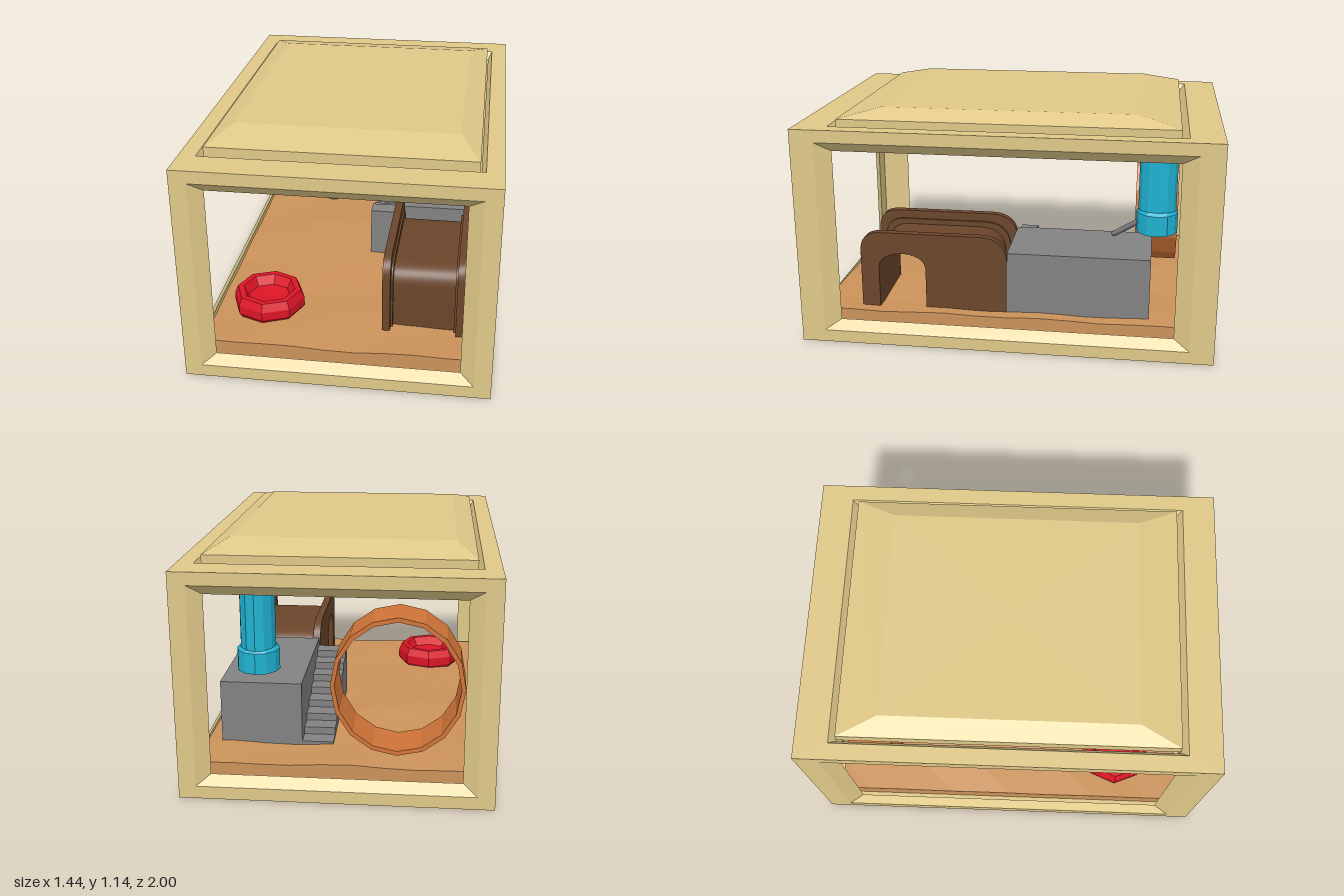
import * as THREE from 'three';
import { toCreasedNormals } from 'three/addons/utils/BufferGeometryUtils.js';

const mat = (color, extra = {}) => new THREE.MeshStandardMaterial({ color, ...extra });
const WOOD = mat(0xdfc888), BED = mat(0xcb925a, { flatShading: true });
const BROWN = mat(0x6a452a), GREY = mat(0x828282), STEEL = mat(0x6c6c70);
const CYAN = mat(0x1fb2d2, { flatShading: true });
const RED = mat(0xdd1526, { flatShading: true });
const ORANGE = mat(0xd07438, { flatShading: true, side: THREE.DoubleSide });

function add(parent, name, geometry, material, x = 0, y = 0, z = 0) {
  const mesh = new THREE.Mesh(geometry, material);
  mesh.name = name;
  mesh.position.set(x, y, z);
  parent.add(mesh);
  return mesh;
}

// Joins rectangular loops [halfWidth, halfHeight, z] into flat bands
function rectLoft(loops, closed) {
  const pos = [];
  const corner = ([w, h, z], i) => [[-w, -h, z], [w, -h, z], [w, h, z], [-w, h, z]][i % 4];
  const last = closed ? loops.length : loops.length - 1;
  for (let k = 0; k < last; k++) {
    const a = loops[k], b = loops[(k + 1) % loops.length];
    for (let i = 0; i < 4; i++) {
      const p = corner(a, i), q = corner(a, i + 1), r = corner(b, i + 1), s = corner(b, i);
      pos.push(...p, ...q, ...r, ...p, ...r, ...s);
    }
  }
  const g = new THREE.BufferGeometry();
  g.setAttribute('position', new THREE.Float32BufferAttribute(pos, 3));
  g.computeVertexNormals();
  return g;
}

// Wall plate with a window whose edge slopes inwards
const windowWall = (w, h, ow, oh, iw, ih, d) =>
  rectLoft([[w, h, 0], [ow, oh, 0], [iw, ih, -d], [w, h, -d]], true);

// House side outline (x of the shape is -z), inset by e, with an arched doorway
function houseProfile(e) {
  const s = new THREE.Shape();
  const f = -0.73 + e, b = -e, t = 0.53 - e * 1.2;
  s.moveTo(f, 0.12);
  s.lineTo(f, t - 0.1);
  s.quadraticCurveTo(f, t, f + 0.1, t);
  s.lineTo(b - 0.14, t);
  s.quadraticCurveTo(b, t, b, t - 0.13);
  s.lineTo(b, 0.12);
  s.lineTo(-0.405, 0.12);
  s.lineTo(-0.405, 0.35);
  s.bezierCurveTo(-0.405, 0.45, -0.64, 0.45, -0.64, 0.35);
  s.lineTo(-0.64, 0.12);
  return s;
}

function houseSlab(e, depth) {
  const g = new THREE.ExtrudeGeometry(houseProfile(e), { depth, bevelEnabled: false, curveSegments: 10 });
  return toCreasedNormals(g.rotateY(Math.PI / 2), 0.7);
}

function createCage() {
  const cage = new THREE.Group();
  cage.name = 'cage';
  for (const s of [1, -1]) {
    const end = add(cage, s > 0 ? 'frontFrame' : 'backFrame',
      windowWall(0.72, 0.535, 0.64, 0.475, 0.575, 0.428, 0.04), WOOD, 0, 0.535, s);
    if (s < 0) end.rotation.y = Math.PI;
    const side = add(cage, s > 0 ? 'leftFrame' : 'rightFrame',
      windowWall(1, 0.535, 0.885, 0.475, 0.81, 0.428, 0.04), WOOD, s * 0.72, 0.535, 0);
    side.rotation.y = s * Math.PI / 2;
  }
  const top = add(cage, 'topFrame', windowWall(0.72, 1, 0.64, 0.84, 0.62, 0.81, 0.04), WOOD, 0, 1.07, 0);
  top.rotation.x = -Math.PI / 2;
  add(cage, 'base', new THREE.BoxGeometry(1.44, 0.05, 2), WOOD, 0, 0.025, 0);

  // Lid with sloping edges
  const lid = add(cage, 'lid', rectLoft([
    [0, 0, 1.035], [0.615, 0.805, 1.035], [0.615, 0.805, 1.1], [0.52, 0.61, 1.145], [0, 0, 1.145],
  ], false), WOOD);
  lid.rotation.x = -Math.PI / 2;
  return cage;
}

// Uneven bedding slab
function createBedding() {
  const g = new THREE.BoxGeometry(1.3, 0.1, 1.84, 9, 1, 12);
  const p = g.attributes.position;
  for (let i = 0; i < p.count; i++) {
    if (p.getY(i) < 0) continue;
    const x = p.getX(i), z = p.getZ(i);
    const mound = 0.035 * Math.exp(-((x + 0.2) ** 2) / 0.06 - ((z + 0.2) ** 2) / 0.2);
    p.setY(i, 0.05 + mound + 0.009 * Math.sin(x * 9 + z * 5) * Math.cos(z * 7 - x * 3));
  }
  g.computeVertexNormals();
  return g;
}

export function createModel() {
  const model = new THREE.Group();
  model.name = 'petCage';
  model.add(createCage());
  add(model, 'bedding', createBedding(), BED, 0, 0.097, 0);

  // House: low tunnel body between two taller end plates
  const house = new THREE.Group();
  house.name = 'house';
  add(house, 'houseBody', houseSlab(0.058, 0.33), BROWN, 0.215, 0, 0);
  for (const x of [0.185, 0.54]) {
    add(house, 'houseEnd', houseSlab(0, 0.038), BROWN, x, 0, 0);
  }
  for (const x of [0.223, 0.53]) {
    add(house, 'houseFillet', houseSlab(0.035, 0.01), BROWN, x, 0, 0);
  }
  model.add(house);

  // Platform with stairs climbing towards the front
  add(model, 'platform', new THREE.BoxGeometry(0.39, 0.345, 0.69), GREY, 0.385, 0.2825, -0.345);
  const stairs = new THREE.Shape();
  stairs.moveTo(0, 0.11);
  stairs.lineTo(0.69, 0.11);
  const steps = 8;
  for (let i = 0; i < steps; i++) {
    const y = 0.415 - i * 0.036;
    stairs.lineTo(0.69 * i / steps, y);
    stairs.lineTo(0.69 * (i + 1) / steps, y);
  }
  // Reorder so the outline runs down the treads once
  const outline = new THREE.Shape([
    new THREE.Vector2(0.69, 0.11), new THREE.Vector2(0, 0.11),
    ...stairs.getPoints().slice(2),
  ]);
  const stairGeo = new THREE.ExtrudeGeometry(outline, { depth: 0.15, bevelEnabled: false });
  add(model, 'stairs', stairGeo.rotateY(Math.PI / 2), GREY, 0.04, 0, 0);

  // Water bottle hanging from the ceiling
  const bottle = new THREE.Group();
  bottle.name = 'waterBottle';
  const tank = add(bottle, 'bottleTank', new THREE.CylinderGeometry(0.083, 0.083, 0.4, 12), CYAN, 0, 0.84, 0);
  tank.scale.z = 1.1;
  const cap = [[0, 0.54], [0.1, 0.54], [0.1, 0.64], [0.085, 0.655], [0, 0.655]];
  add(bottle, 'bottleCap', new THREE.LatheGeometry(cap.map(([r, y]) => new THREE.Vector2(r, y)), 12), CYAN);
  const spout = new THREE.LineCurve3(new THREE.Vector3(0, 0.595, 0.07), new THREE.Vector3(0.005, 0.515, 0.205));
  add(bottle, 'spout', new THREE.TubeGeometry(spout, 1, 0.014, 8), STEEL);
  add(bottle, 'spoutTip', new THREE.SphereGeometry(0.014, 8, 6), STEEL, 0.005, 0.515, 0.205);
  bottle.position.set(0.385, 0, -0.71);
  model.add(bottle);

  // Exercise wheel: a thin sixteen-sided band
  const band = [[0.31, -0.11], [0.31, 0.11], [0.29, 0.11], [0.29, -0.11], [0.31, -0.11]];
  const wheel = add(model, 'exerciseWheel',
    new THREE.LatheGeometry(band.map(([r, y]) => new THREE.Vector2(r, y)), 16), ORANGE, -0.27, 0.5, -0.71);
  wheel.rotation.x = Math.PI / 2;
  wheel.scale.z = 1.08;

  // Food bowl
  const bowl = [[0, 0.14], [0.16, 0.14], [0.178, 0.165], [0.178, 0.21], [0.16, 0.25],
    [0.13, 0.25], [0.105, 0.205], [0, 0.195]];
  add(model, 'foodBowl',
    new THREE.LatheGeometry(bowl.map(([r, y]) => new THREE.Vector2(r, y)), 8), RED, -0.4, 0, 0.58);

  return model;
}
